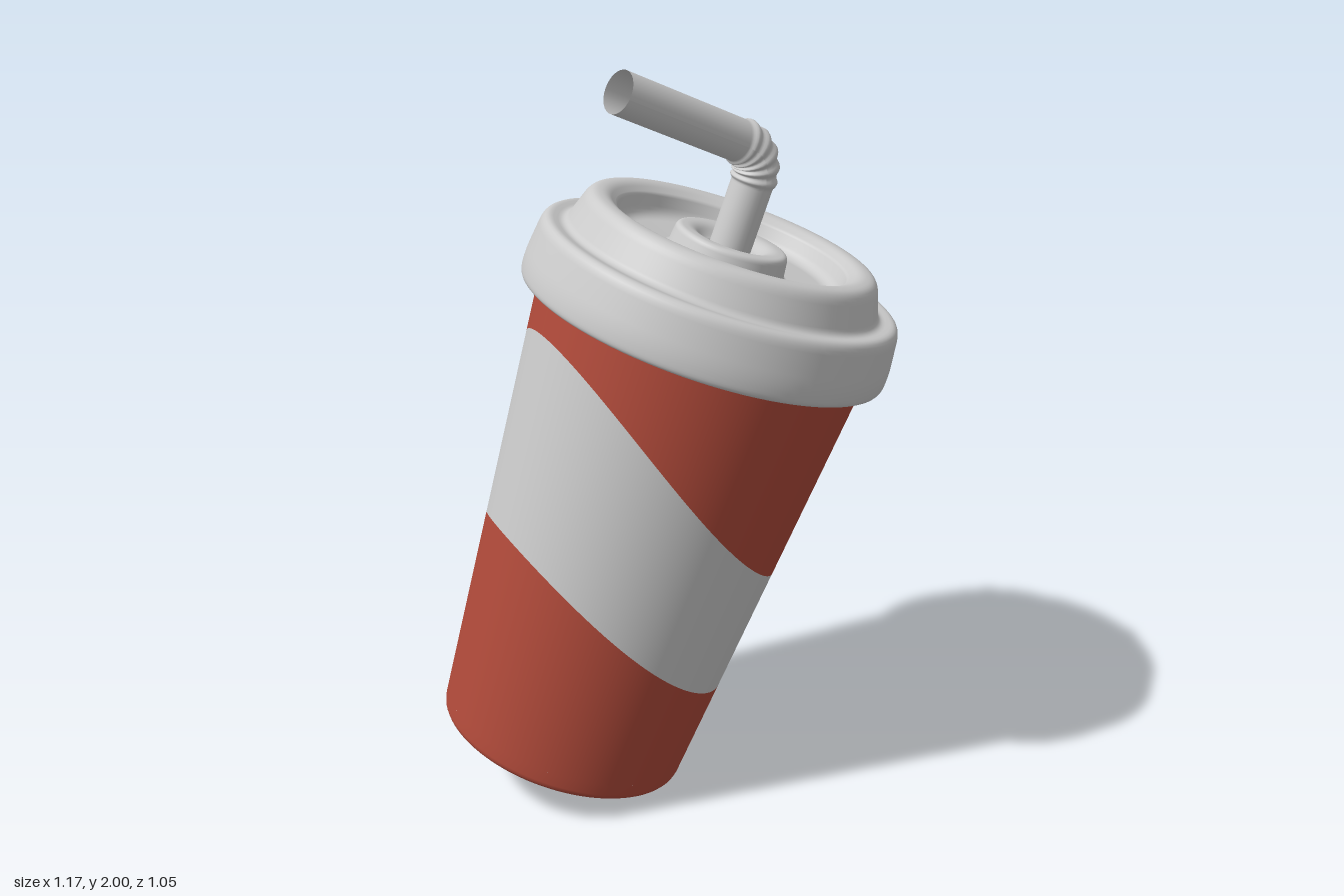
import * as THREE from 'three';

const grey = new THREE.MeshStandardMaterial({ color: 0xcccccc });
const greyThin = new THREE.MeshStandardMaterial({ color: 0xcccccc, side: THREE.DoubleSide });
const red = new THREE.MeshStandardMaterial({ color: 0xb04a3a });

function part(name, geometry, material) {
  const mesh = new THREE.Mesh(geometry, material);
  mesh.name = name;
  return mesh;
}

// Lathe from [radius, height] corners, each rounded by up to the given amount
function roundedLathe(corners, rounding) {
  const pts = corners.map(([r, y]) => new THREE.Vector2(r, y));
  const path = new THREE.Path().moveTo(pts[0].x, pts[0].y);
  for (let i = 1; i < pts.length - 1; i++) {
    const p = pts[i];
    const toward = (q) => p.clone().lerp(q, Math.min(0.45, (corners[i][2] ?? rounding) / p.distanceTo(q)));
    const a = toward(pts[i - 1]), b = toward(pts[i + 1]);
    path.lineTo(a.x, a.y).quadraticCurveTo(p.x, p.y, b.x, b.y);
  }
  const last = pts[pts.length - 1];
  path.lineTo(last.x, last.y);
  return new THREE.LatheGeometry(path.getPoints(6), 96);
}

// Conical cup wall
const WALL_START = 0.06, WALL_TOP = 1.32, SLOPE = 0.083;
const wallRadius = (t) => 0.347 + SLOPE * (t - WALL_START);

// Heights of the wavy band edges around the cup
const bandTop = (a) => 0.867 - 0.254 * Math.cos(a) + 0.047 * Math.cos(2 * a);
const bandBottom = (a) => 0.432 - 0.159 * Math.cos(a) + 0.032 * Math.cos(2 * a);

// A strip of the cup wall between two edge curves
function wallStrip(low, high) {
  const g = new THREE.CylinderGeometry(1, 1, 1, 128, 8, true);
  const pos = g.attributes.position, nor = g.attributes.normal;
  const n = new THREE.Vector3();
  for (let i = 0; i < pos.count; i++) {
    const a = Math.atan2(pos.getZ(i), pos.getX(i));
    const t = THREE.MathUtils.lerp(low(a), high(a), pos.getY(i) + 0.5);
    const r = wallRadius(t);
    pos.setXYZ(i, r * Math.cos(a), t, r * Math.sin(a));
    n.set(Math.cos(a), -SLOPE, Math.sin(a)).normalize();
    nor.setXYZ(i, n.x, n.y, n.z);
  }
  return g;
}

// Bent drinking straw with bellows at the elbow
function strawGeometry() {
  const start = new THREE.Vector3(0, 1.38, 0);
  const corner = new THREE.Vector3(0, 1.75, 0);
  const end = new THREE.Vector3(-0.476, 1.82, 0.015);
  const bendIn = new THREE.Vector3(0, 1.66, 0);
  const bendOut = corner.clone().add(end.clone().sub(corner).setLength(0.09));
  const curve = new THREE.CurvePath();
  curve.add(new THREE.LineCurve3(start, bendIn));
  curve.add(new THREE.QuadraticBezierCurve3(bendIn, corner, bendOut));
  curve.add(new THREE.LineCurve3(bendOut, end));
  const [l1, l2, total] = curve.getCurveLengths();
  const g = new THREE.TubeGeometry(curve, 200, 0.055, 32, false);
  const pos = g.attributes.position, nor = g.attributes.normal, uv = g.attributes.uv;
  for (let i = 0; i < pos.count; i++) {
    const s = (uv.getX(i) * total - l1) / (l2 - l1);
    if (s <= 0 || s >= 1) continue;
    const bulge = 0.007 * Math.sin(s * Math.PI * 5) ** 2;
    pos.setXYZ(i, pos.getX(i) + nor.getX(i) * bulge,
      pos.getY(i) + nor.getY(i) * bulge, pos.getZ(i) + nor.getZ(i) * bulge);
  }
  g.computeVertexNormals();
  return g;
}

export function createModel() {
  const model = new THREE.Group();
  model.name = 'takeawayCup';

  // Cup: rounded base, red wall below and above a pale band
  const cup = new THREE.Group();
  cup.name = 'cup';
  cup.add(part('cupBase', roundedLathe([[0, 0], [0.342, 0, 0.05], [wallRadius(WALL_START), WALL_START]], 0.05), red));
  cup.add(part('lowerWall', wallStrip(() => WALL_START, bandBottom), red));
  cup.add(part('band', wallStrip(bandBottom, bandTop), grey));
  cup.add(part('upperWall', wallStrip(bandTop, () => WALL_TOP), red));

  // Lid: skirt, stepped shoulder, raised ring, recess and straw boss
  const lid = part('lid', roundedLathe([
    [0.452, 1.31], [0.46, 1.265, 0.008], [0.496, 1.262, 0.02], [0.499, 1.31],
    [0.483, 1.435, 0.035], [0.425, 1.425, 0.02], [0.39, 1.525, 0.03],
    [0.345, 1.53, 0.02], [0.312, 1.508, 0.006], [0.295, 1.45, 0.03],
    [0.158, 1.445, 0.012], [0.15, 1.51, 0.015], [0.105, 1.51, 0.02],
    [0.075, 1.485, 0.015], [0.06, 1.48, 0.008], [0.058, 1.42],
  ], 0.03), greyThin);

  const straw = part('straw', strawGeometry(), greyThin);

  model.add(cup, lid, straw);

  // Lean the whole cup to one side and slightly forward
  const axis = new THREE.Vector3(0.265, 0.95, 0.164).normalize();
  const side = new THREE.Vector3(axis.y, -axis.x, 0).normalize();
  const front = new THREE.Vector3().crossVectors(side, axis);
  model.quaternion.setFromRotationMatrix(new THREE.Matrix4().makeBasis(side, axis, front));
  model.position.set(-0.258, 0.1, -0.188);

  const root = new THREE.Group();
  root.name = 'drinkCup';
  root.add(model);
  return root;
}
